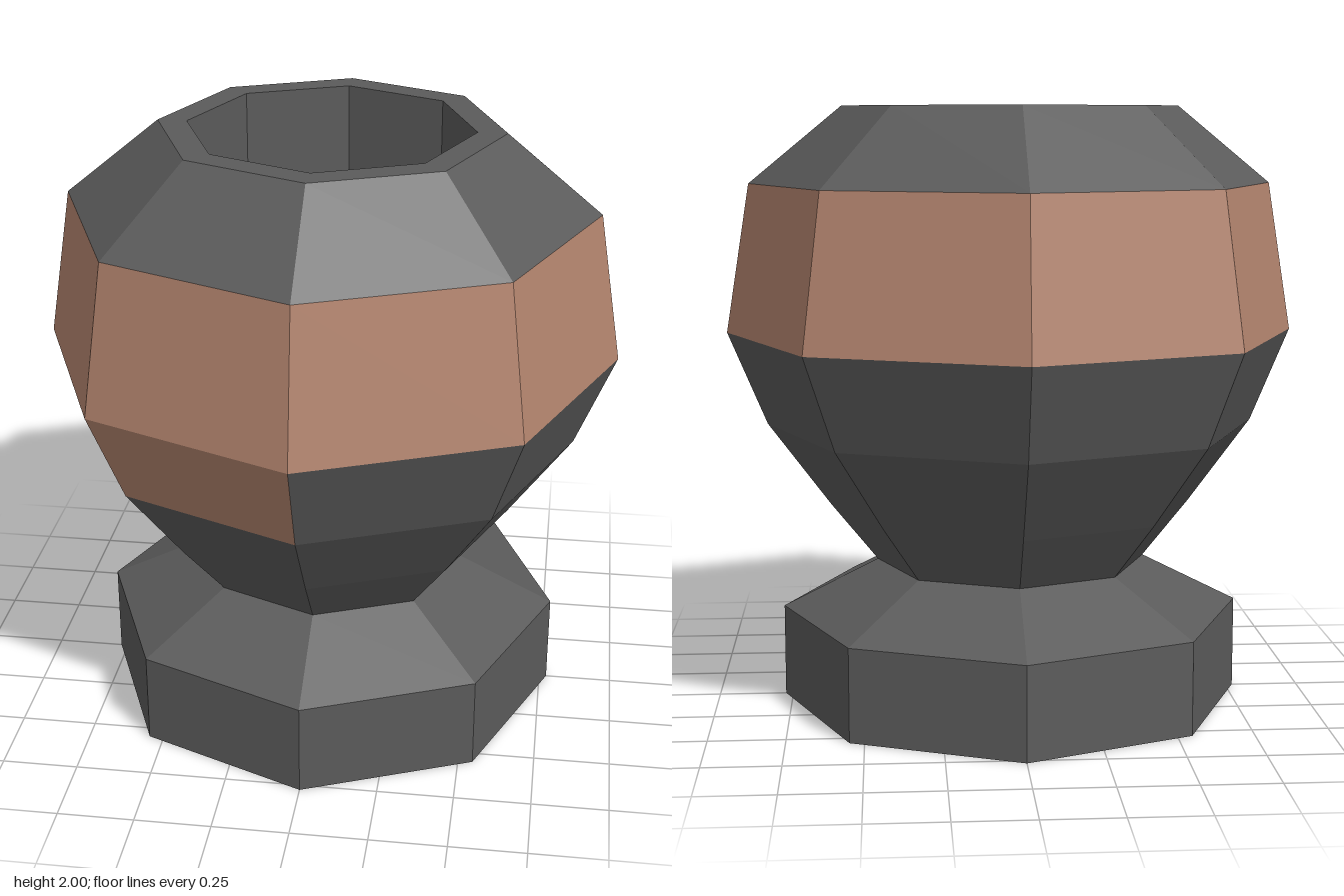
import * as THREE from 'three';

const SIDES = 8;

export function createModel() {
  const material = (name, color) => {
    const m = new THREE.MeshStandardMaterial({ color, flatShading: true });
    m.name = name;
    return m;
  };
  const stone = material('darkGrey', 0x5b5b5b);
  const clay = material('clayBrown', 0xb4856f);
  const soil = material('darkSoil', 0x302525);

  const group = new THREE.Group();
  group.name = 'urn';

  const add = (name, geometry, mat) => {
    const mesh = new THREE.Mesh(geometry, mat);
    mesh.name = name;
    group.add(mesh);
    return mesh;
  };

  // Octagonal ring from a [radius, height] profile, covering some of the sides
  const ring = (name, profile, mat, first = 0, count = SIDES) => {
    const step = (Math.PI * 2) / SIDES;
    const points = profile.map(([r, y]) => new THREE.Vector2(r, y));
    return add(name, new THREE.LatheGeometry(points, count, first * step, count * step), mat);
  };

  // Foot with closed underside and sloping top
  ring('foot', [[0, 0], [0.775, 0], [0.775, 0.31], [0.455, 0.47]], stone);

  // Flaring lower bowl
  ring('lowerBowl', [[0.455, 0.47], [0.61, 0.66], [0.82, 0.94]], stone);

  // Upper part of the bowl, with one clay panel on the front
  const shoulder = [[0.82, 0.94], [0.95, 1.25]];
  ring('bowlShoulder', shoulder, stone, 0, SIDES - 1);
  ring('frontPanel', shoulder, clay, SIDES - 1, 1);

  // Clay band around the widest part
  ring('clayBand', [[0.95, 1.25], [0.87, 1.745]], clay);

  // Sloping collar, flat rim and inner wall
  ring('collar', [[0.87, 1.745], [0.56, 2]], stone);
  ring('rim', [[0.56, 2], [0.465, 2]], stone);
  ring('innerWall', [[0.465, 2], [0.465, 1.45]], stone);

  // Soil inside the opening
  const floor = new THREE.CircleGeometry(0.465, SIDES).rotateX(-Math.PI / 2);
  add('soil', floor, soil).position.y = 1.45;

  return group;
}
